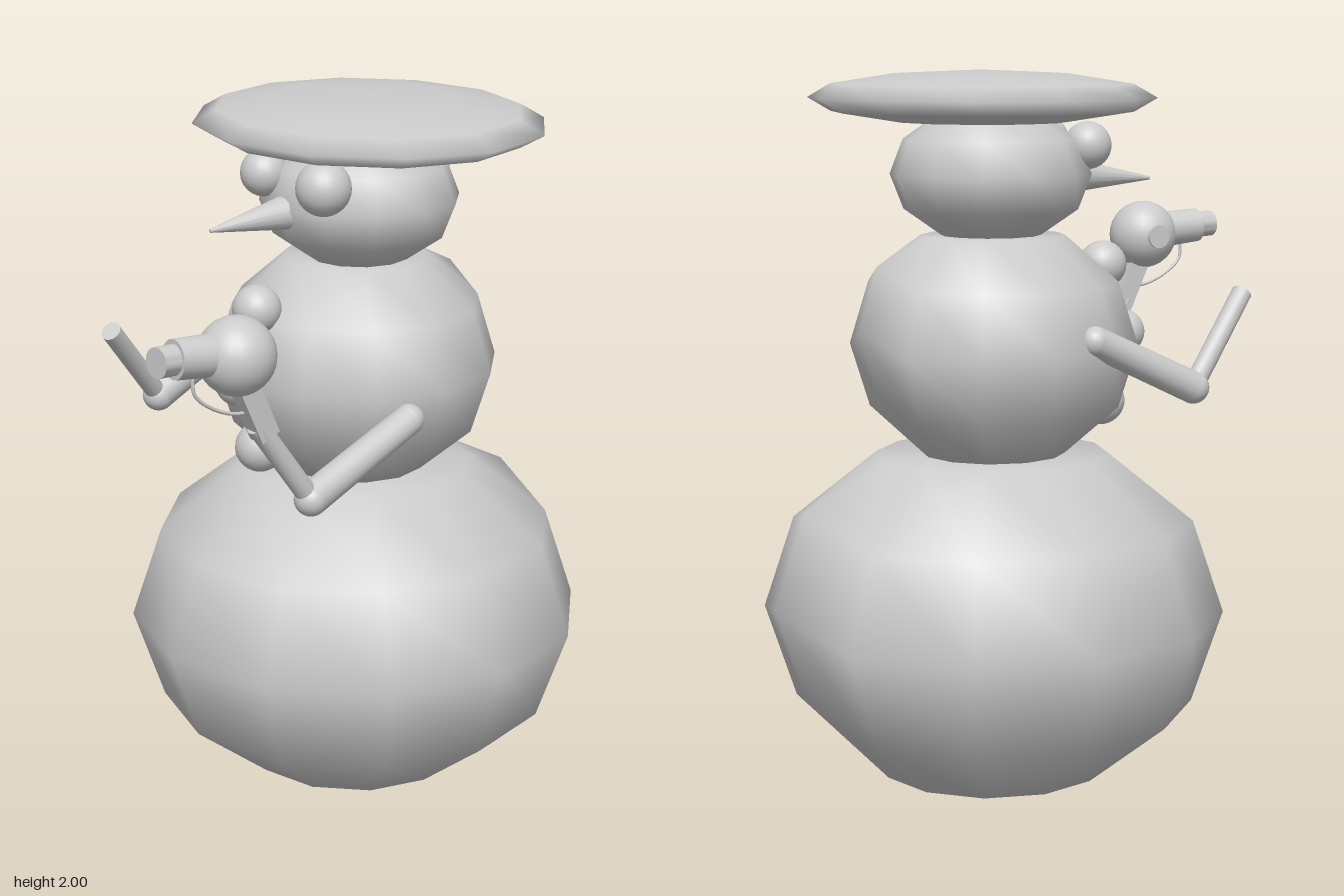
import * as THREE from 'three';
import { mergeVertices, toCreasedNormals } from 'three/addons/utils/BufferGeometryUtils.js';

const material = new THREE.MeshStandardMaterial({ color: 0xcccccc, side: THREE.DoubleSide });
const V = (x, y, z) => new THREE.Vector3(x, y, z);

export function createModel() {
  const root = new THREE.Group();

  const add = (name, geometry, position, parent = root) => {
    const mesh = new THREE.Mesh(geometry, material);
    mesh.name = name;
    if (position) mesh.position.copy(position);
    parent.add(mesh);
    return mesh;
  };

  // Squashed low-poly ball with flattened poles; its back column is lifted a little
  const snowball = (name, r, squash, centre, lift) => {
    let g = new THREE.SphereGeometry(1, 12, 6);
    g.deleteAttribute('uv');
    g.deleteAttribute('normal');
    g = mergeVertices(g, 1e-3);
    const p = g.attributes.position;
    const cap = Math.cos(Math.PI / 6);
    for (let i = 0; i < p.count; i++) {
      const x = p.getX(i), z = p.getZ(i);
      let y = THREE.MathUtils.clamp(p.getY(i), -cap, cap);
      if (z < 0 && Math.abs(x) < 0.01 && Math.abs(y) < 0.6) y += lift;
      p.setXYZ(i, x * r, y * r * squash, z * r);
    }
    g.computeVertexNormals();
    return add(name, g, centre);
  };

  const ball = (name, r, centre, parent) =>
    add(name, new THREE.SphereGeometry(r, 24, 16), centre, parent);

  // Cylinder or cone running from a to b
  const rod = (name, a, b, ra, rb, parent, sides = 16) => {
    const dir = b.clone().sub(a);
    const g = toCreasedNormals(new THREE.CylinderGeometry(rb, ra, dir.length(), sides), 0.8);
    const mesh = add(name, g, a.clone().add(b).multiplyScalar(0.5), parent);
    mesh.quaternion.setFromUnitVectors(V(0, 1, 0), dir.normalize());
    return mesh;
  };

  // Body
  snowball('lowerBody', 0.664, 0.8, V(0, 0.46, -0.165), 0.13);
  snowball('upperBody', 0.41, 0.873, V(0.005, 1.23, -0.157), 0.16);
  snowball('head', 0.285, 0.69, V(0.02, 1.71, -0.157), 0);

  // Flat lens-shaped hat
  const hatShape = mergeVertices(new THREE.SphereGeometry(1, 12, 6));
  const hat = add('hat', hatShape, V(0.03, 1.923, -0.18));
  hat.scale.set(0.527, 0.077, 0.482);

  // Face
  ball('rightEye', 0.067, V(-0.097, 1.79, 0.09));
  ball('leftEye', 0.077, V(0.16, 1.79, 0.08));
  rod('nose', V(0.015, 1.7, 0.08), V(0.015, 1.685, 0.353), 0.052, 0.005);

  // Buttons down the chest
  [[0.015, 1.44, 0.2, 0.069], [0.015, 1.24, 0.265, 0.066], [0.025, 1.04, 0.2, 0.071]]
    .forEach(([x, y, z, r]) => ball('button', r, V(x, y, z)));

  // Arms: thick upper arm, round elbow, thinner forearm
  const arm = (name, shoulder, elbow, hand) => {
    const group = new THREE.Group();
    group.name = name;
    root.add(group);
    ball('shoulder', 0.043, shoulder, group);
    rod('upperArm', shoulder, elbow, 0.043, 0.046, group);
    ball('elbow', 0.046, elbow, group);
    rod('forearm', elbow, hand, 0.029, 0.029, group);
    return group;
  };
  arm('rightArm', V(-0.35, 1.27, -0.02), V(-0.335, 1.12, 0.3), V(-0.25, 1.37, 0.51));
  arm('leftArm', V(0.4, 1.175, -0.03), V(0.443, 1.04, 0.34), V(0.437, 1.28, 0.51));

  // Hand-held blower in the left hand
  const blower = new THREE.Group();
  blower.name = 'blower';
  root.add(blower);
  ball('blowerHousing', 0.104, V(0.437, 1.48, 0.572), blower);
  rod('blowerNozzle', V(0.432, 1.49, 0.6), V(0.43, 1.503, 0.76), 0.057, 0.052, blower, 24);
  rod('blowerTip', V(0.43, 1.503, 0.75), V(0.437, 1.506, 0.815), 0.04, 0.04, blower, 24);
  rod('sideKnob', V(0.4, 1.48, 0.572), V(0.332, 1.48, 0.572), 0.036, 0.036, blower);
  const handle = add('blowerHandle', new THREE.BoxGeometry(0.055, 0.2, 0.06), V(0.437, 1.34, 0.525), blower);
  handle.rotation.x = 0.42;
  const guard = new THREE.CatmullRomCurve3([
    V(0.433, 1.46, 0.705), V(0.433, 1.4, 0.7), V(0.433, 1.355, 0.65),
    V(0.433, 1.325, 0.58), V(0.433, 1.32, 0.52),
  ]);
  add('triggerGuard', new THREE.TubeGeometry(guard, 24, 0.005, 8), null, blower);

  return root;
}
